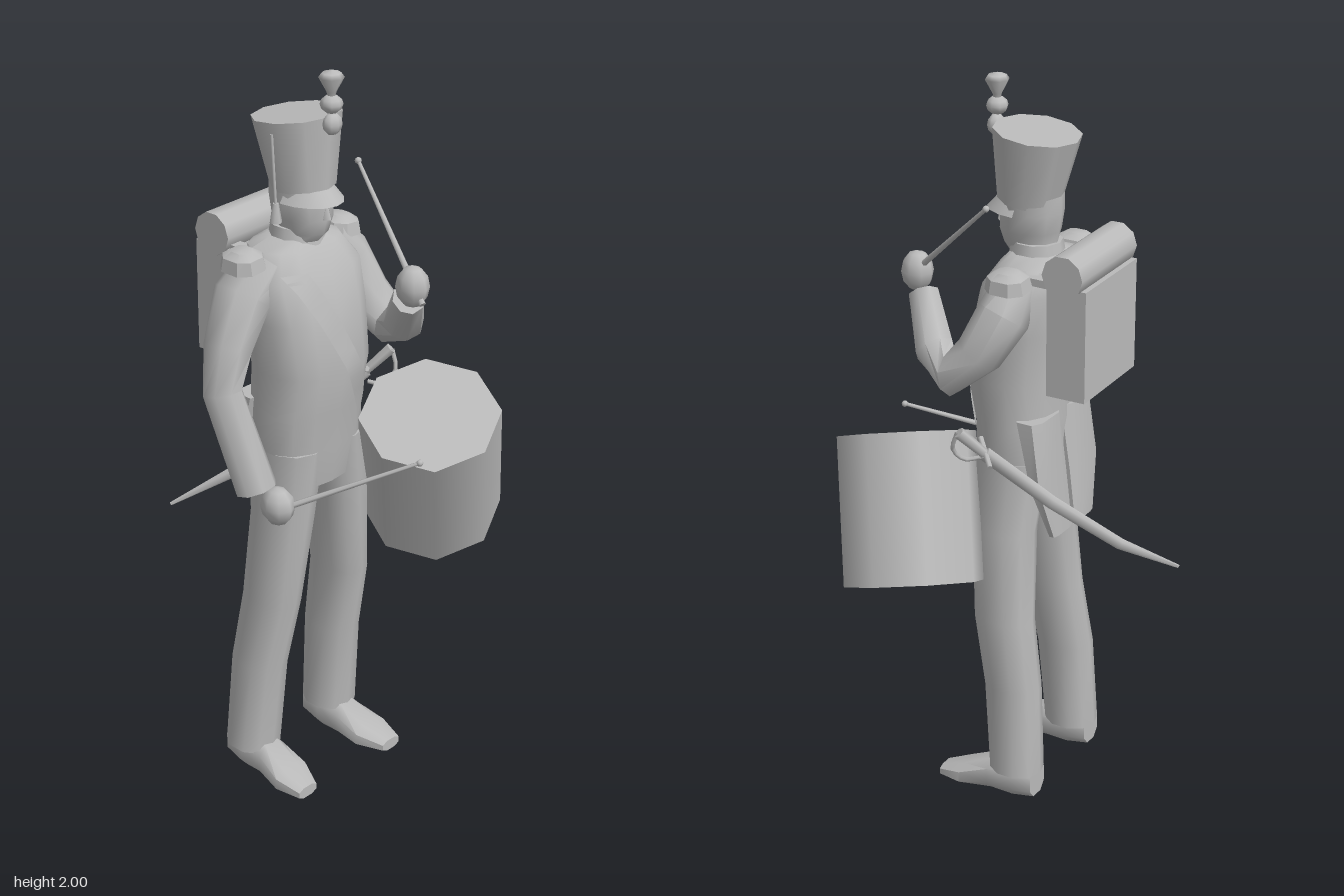
import * as THREE from 'three';
import { toCreasedNormals } from 'three/addons/utils/BufferGeometryUtils.js';

const grey = new THREE.MeshStandardMaterial({ color: 0xbababa });
grey.name = 'plain grey';
const greyTwoSided = new THREE.MeshStandardMaterial({ color: 0xbababa, side: THREE.DoubleSide });
greyTwoSided.name = 'plain grey sheet';

const V = (x, y, z) => new THREE.Vector3(x, y, z);
const UP = V(0, 1, 0), FRONT = V(0, 0, 1);

// Torso sections: y, centre x, centre z, half width, half depth
const TORSO = [
  [0.89, -0.08, -0.01, 0.13, 0.09], [1.0, -0.08, -0.01, 0.155, 0.108], [1.1, -0.08, -0.01, 0.152, 0.115],
  [1.22, -0.08, 0.005, 0.155, 0.125], [1.36, -0.08, -0.012, 0.165, 0.122], [1.47, -0.08, -0.03, 0.172, 0.11],
  [1.535, -0.08, -0.05, 0.13, 0.085], [1.555, -0.08, -0.045, 0.07, 0.065],
];

// Closed skin over oval sections [x, y, z, ru, rv]; sections follow the path unless dir is fixed
function loft(rings, { n = 8, dir = null, ref = FRONT, power = 1, crease = 0.9 } = {}) {
  const pos = [], index = [];
  const pts = rings.map(r => V(r[0], r[1], r[2]));
  const soft = c => Math.sign(c) * Math.abs(c) ** power;
  rings.forEach((r, i) => {
    const d = dir ? dir.clone() : pts[Math.min(i + 1, pts.length - 1)].clone().sub(pts[Math.max(i - 1, 0)]).normalize();
    const u = ref.clone().cross(d).normalize(), v = d.clone().cross(u);
    for (let j = 0; j < n; j++) {
      const a = (j + 0.5) / n * Math.PI * 2;
      const p = pts[i].clone().addScaledVector(u, soft(Math.cos(a)) * r[3]).addScaledVector(v, soft(Math.sin(a)) * r[4]);
      pos.push(p.x, p.y, p.z);
    }
  });
  const first = pos.length / 3, last = first + 1, top = (rings.length - 1) * n;
  [pts[0], pts[pts.length - 1]].forEach(p => pos.push(p.x, p.y, p.z));
  for (let j = 0; j < n; j++) {
    const k = (j + 1) % n;
    for (let i = 0; i < rings.length - 1; i++) {
      const a = i * n + j, b = i * n + k;
      index.push(a, b, b + n, a, b + n, a + n);
    }
    index.push(first, k, j, last, top + j, top + k);
  }
  const g = new THREE.BufferGeometry();
  g.setAttribute('position', new THREE.Float32BufferAttribute(pos, 3));
  g.setIndex(index);
  return toCreasedNormals(g, crease);
}

// Straight tapered rod between two points
function rod(a, b, ra, rb = ra, n = 6) {
  const d = b.clone().sub(a);
  const g = new THREE.CylinderGeometry(rb, ra, d.length(), n);
  g.applyQuaternion(new THREE.Quaternion().setFromUnitVectors(UP, d.normalize()));
  const c = a.clone().add(b).multiplyScalar(0.5);
  return g.translate(c.x, c.y, c.z);
}

// Sash lying on the chest, running from the right shoulder to the left hip
function sash() {
  const pos = [], index = [], steps = 10;
  const onChest = (x, y) => {
    let i = 0;
    while (i < TORSO.length - 2 && TORSO[i + 1][0] < y) i++;
    const t = (y - TORSO[i][0]) / (TORSO[i + 1][0] - TORSO[i][0]);
    const [cx, cz, rx, rz] = [1, 2, 3, 4].map(k => THREE.MathUtils.lerp(TORSO[i][k], TORSO[i + 1][k], t));
    const s = Math.min(1, Math.abs((x - cx) / rx)) ** (1 / 0.8);
    return cz + rz * Math.sqrt(1 - s * s) ** 0.8 + 0.005;
  };
  for (let i = 0; i <= steps; i++) {
    const t = i / steps, y = 1.49 - 0.43 * t;
    for (const x of [-0.215 + 0.22 * t, -0.15 + 0.21 * t]) pos.push(x, y, onChest(x, y));
    if (i < steps) { const a = i * 2; index.push(a, a + 2, a + 1, a + 1, a + 2, a + 3); }
  }
  const g = new THREE.BufferGeometry();
  g.setAttribute('position', new THREE.Float32BufferAttribute(pos, 3));
  g.setIndex(index);
  g.computeVertexNormals();
  return g;
}

export function createModel() {
  const model = new THREE.Group();
  model.name = 'drummer';
  const add = (name, geometry, material = grey) => {
    const m = new THREE.Mesh(geometry, material);
    m.name = name;
    model.add(m);
    return m;
  };
  const ball = (name, x, y, z, rx, ry = rx, rz = rx) =>
    add(name, new THREE.SphereGeometry(1, 8, 6).scale(rx, ry, rz).translate(x, y, z));

  // Body
  add('torso', loft(TORSO.map(([y, x, z, rx, rz]) => [x, y, z, rx, rz]), { n: 14, dir: UP, power: 0.8 }));
  add('sash', sash(), greyTwoSided);
  add('collar', new THREE.CylinderGeometry(0.066, 0.075, 0.045, 10).translate(-0.08, 1.56, -0.04));

  // Head and face
  add('head', loft([
    [-0.08, 1.53, -0.04, 0.055, 0.055], [-0.08, 1.57, -0.02, 0.052, 0.075], [-0.08, 1.61, -0.02, 0.072, 0.083],
    [-0.08, 1.66, -0.025, 0.077, 0.085], [-0.08, 1.71, -0.025, 0.078, 0.083]], { n: 10, dir: UP }));
  add('nose', new THREE.ConeGeometry(0.014, 0.045, 4).translate(-0.08, 1.637, 0.065));

  // Tall flared cap with visor, pompons, plume and hanging cord
  const cap = add('cap', new THREE.CylinderGeometry(0.115, 0.083, 0.185, 10));
  cap.position.set(-0.08, 1.775, -0.027);
  cap.rotation.x = -0.12;
  const visor = add('visor', new THREE.CylinderGeometry(0.083, 0.115, 0.035, 8, 1, true, -Math.PI / 2, Math.PI), greyTwoSided);
  visor.position.set(-0.08, 1.675, -0.015);
  visor.scale.x = 0.74;
  ball('lowerPompon', -0.08, 1.865, 0.083, 0.028, 0.028, 0.022);
  ball('upperPompon', -0.08, 1.915, 0.08, 0.029, 0.024, 0.029);
  add('plume', new THREE.LatheGeometry(
    [[0.008, 1.925], [0.012, 1.945], [0.032, 1.982], [0.024, 1.993], [0, 2]].map(p => new THREE.Vector2(...p)), 8)
    .translate(-0.08, 0, 0.08));
  add('capCord', rod(V(-0.185, 1.84, -0.02), V(-0.184, 1.66, -0.01), 0.004));
  add('capTassel', new THREE.CylinderGeometry(0.008, 0.016, 0.05, 6).translate(-0.184, 1.64, -0.01));

  // Legs and shoes
  const legRows = [[1.0, -0.01, 0.08, 0.105], [0.8, -0.01, 0.07, 0.09], [0.55, -0.03, 0.06, 0.087],
    [0.35, -0.06, 0.063, 0.08], [0.09, -0.072, 0.068, 0.074]];
  const legXs = { rightLeg: [-0.155, -0.172, -0.195, -0.215, -0.233], leftLeg: [-0.005, 0.03, 0.064, 0.068, 0.068] };
  for (const [name, xs] of Object.entries(legXs)) {
    add(name, loft(legRows.map(([y, z, rx, rz], i) => [xs[i], y, z, rx, rz]).reverse(), { n: 10, dir: UP, power: 0.9 }));
  }
  for (const [name, x, toe, y] of [['rightShoe', -0.235, -0.015, 0.012], ['leftShoe', 0.066, 0.018, 0]]) {
    add(name, loft([
      [x, y + 0.065, -0.135, 0.04, 0.05], [x, y + 0.062, -0.07, 0.052, 0.058], [x, y + 0.054, 0, 0.05, 0.05],
      [x + toe * 0.5, y + 0.034, 0.08, 0.06, 0.033], [x + toe, y + 0.022, 0.152, 0.035, 0.017]],
    { n: 8, dir: FRONT, ref: UP, power: 0.8 }));
  }

  // Coat tails, one each side of the back slit
  for (const s of [-1, 1]) {
    add(s < 0 ? 'rightCoatTail' : 'leftCoatTail', loft([
      [-0.08 + s * 0.056, 0.8, -0.15, 0.05, 0.012], [-0.08 + s * 0.08, 0.95, -0.125, 0.075, 0.024],
      [-0.08 + s * 0.076, 1.13, -0.09, 0.075, 0.04]], { n: 8, dir: UP, power: 0.6 }));
  }

  // Arms, hands and drumsticks
  add('rightArm', loft([[-0.19, 1.5, -0.05, 0.055, 0.07], [-0.26, 1.43, -0.055, 0.068, 0.082],
    [-0.325, 1.31, -0.045, 0.056, 0.068], [-0.365, 1.21, -0.025, 0.05, 0.056], [-0.33, 0.955, 0.055, 0.054, 0.055]]));
  add('leftArm', loft([[0.03, 1.5, -0.05, 0.055, 0.07], [0.095, 1.43, -0.045, 0.068, 0.082],
    [0.13, 1.33, 0.005, 0.062, 0.072], [0.15, 1.265, 0.075, 0.058, 0.06], [0.115, 1.305, 0.15, 0.055, 0.052],
    [0.035, 1.415, 0.235, 0.043, 0.04]], { ref: V(1, 0, 0) }));
  ball('rightHand', -0.3, 0.91, 0.1, 0.042, 0.052, 0.048);
  ball('leftHand', 0.012, 1.465, 0.268, 0.042, 0.055, 0.045);
  const sticks = [['rightDrumstick', V(-0.31, 0.895, 0.095), V(-0.06, 1.035, 0.365)],
    ['leftDrumstick', V(0.003, 1.43, 0.31), V(0.098, 1.705, 0.004)]];
  for (const [name, a, b] of sticks) {
    add(name, rod(a, b, 0.009, 0.005));
    ball(name + 'Tip', b.x, b.y, b.z, 0.009);
  }

  // Fringed shoulder pieces
  for (const [name, x, tilt] of [['rightEpaulette', -0.255, 0.08], ['leftEpaulette', 0.09, -0.08]]) {
    const e = add(name, loft([[0, -0.022, 0, 0.054, 0.06], [0, 0.012, 0, 0.046, 0.053], [0, 0.026, 0, 0.025, 0.03]],
      { n: 8, dir: UP, power: 0.8, crease: 0.6 }));
    e.position.set(x, 1.525, -0.056);
    e.rotation.z = tilt;
  }

  // Backpack with rolled blanket
  const pack = add('backpack', new THREE.BoxGeometry(0.285, 0.3, 0.11));
  pack.position.set(-0.087, 1.37, -0.198);
  pack.rotation.y = 0.04;
  const roll = add('blanketRoll', new THREE.CylinderGeometry(0.057, 0.057, 0.305, 10).rotateZ(Math.PI / 2));
  roll.position.set(-0.084, 1.552, -0.192);
  roll.rotation.y = 0.04;
  for (const [name, x] of [['rightPackStrap', -0.2], ['leftPackStrap', 0.04]]) {
    add(name, new THREE.BoxGeometry(0.035, 0.02, 0.11).translate(x, 1.52, -0.1));
  }

  // Drum hung at the left hip
  add('drum', rod(V(0.272, 0.7, 0.122), V(0.135, 1.055, 0.228), 0.187, 0.187, 8));

  // Curved sabre in its scabbard, with grip and knuckle guard
  add('scabbard', loft([[0.18, 1.08, -0.04, 0.013, 0.019], [0.05, 0.918, -0.165, 0.011, 0.018],
    [-0.08, 0.775, -0.3, 0.009, 0.016], [-0.2, 0.685, -0.414, 0.003, 0.005]], { n: 6, ref: UP }));
  add('sabreGrip', rod(V(0.18, 1.08, -0.04), V(0.226, 1.145, 0.008), 0.013, 0.016));
  add('sabreCrossguard', rod(V(0.21, 1.06, -0.075), V(0.15, 1.105, -0.01), 0.008));
  add('knuckleGuard', new THREE.TubeGeometry(new THREE.CatmullRomCurve3(
    [V(0.165, 1.06, -0.02), V(0.19, 1.055, 0.012), V(0.22, 1.09, 0.03), V(0.226, 1.145, 0.012)]), 8, 0.006, 5));
  return model;
}
